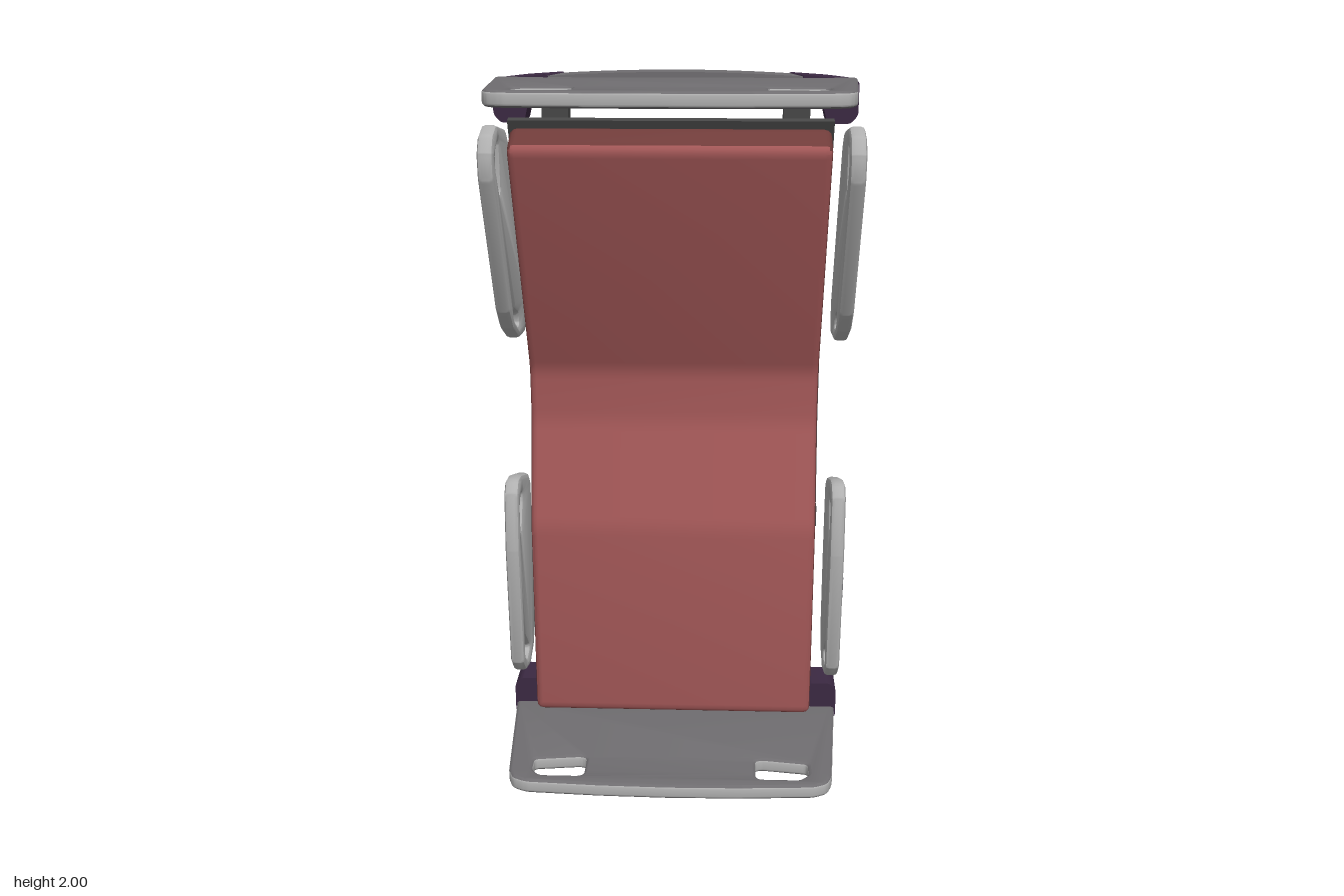
import * as THREE from 'three';
import { toCreasedNormals } from 'three/addons/utils/BufferGeometryUtils.js';

const mat = (name, color) => {
  const m = new THREE.MeshStandardMaterial({ color });
  m.name = name;
  return m;
};

export function createModel() {
  const light = mat('lightGreyPlastic', 0xb0b0b0);
  const panel = mat('greyPanel', 0x6f6d70);
  const frame = mat('darkFrame', 0x474747);
  const purple = mat('purpleBumper', 0x3b2942);
  const red = mat('redUpholstery', 0xa45858);
  const darkRed = mat('darkRedUpholstery', 0x703c3a);
  const blue = mat('blueScreen', 0x2e458c);
  const buttons = mat('buttonGrey', 0x606068);

  const root = new THREE.Group();
  root.name = 'hospitalBed';

  const add = (name, geo, material, parent = root) => {
    const mesh = new THREE.Mesh(geo, material);
    mesh.name = name;
    parent.add(mesh);
    return mesh;
  };
  const group = (name) => {
    const g = new THREE.Group();
    g.name = name;
    root.add(g);
    return g;
  };

  // Box given by its limits on each axis
  const box = (name, [x0, x1], [y0, y1], [z0, z1], material, parent) => {
    const m = add(name, new THREE.BoxGeometry(x1 - x0, y1 - y0, z1 - z0), material, parent);
    m.position.set((x0 + x1) / 2, (y0 + y1) / 2, (z0 + z1) / 2);
    return m;
  };

  // Closed outline with rounded corners
  const outline = (pts, r, target) => {
    const P = pts.map((p) => new THREE.Vector2(p[0], p[1]));
    P.forEach((p, i) => {
      const prev = P[(i + P.length - 1) % P.length], next = P[(i + 1) % P.length];
      const near = (q) => p.clone().lerp(q, Math.min(0.45, r / p.distanceTo(q)));
      const a = near(prev), b = near(next);
      if (i === 0) target.moveTo(a.x, a.y); else target.lineTo(a.x, a.y);
      if (r > 0) target.quadraticCurveTo(p.x, p.y, b.x, b.y);
    });
    target.closePath();
    return target;
  };

  // Outline extruded along an axis from a to b: x uses (z,y), y uses (x,z), z uses (x,y)
  const X = new THREE.Vector3(1, 0, 0), Y = new THREE.Vector3(0, 1, 0), Z = new THREE.Vector3(0, 0, 1);
  const bases = { x: [Z, Y, X.clone().negate()], y: [X, Z, Y.clone().negate()], z: [X, Y, Z] };
  const prism = (axis, pts, a, b, { r = 0, bevel = 0, holes = [], segments = 3 } = {}) => {
    const shape = outline(pts, r, new THREE.Shape());
    holes.forEach((h) => shape.holes.push(outline(h, 0.012, new THREE.Path())));
    const geo = new THREE.ExtrudeGeometry(shape, {
      depth: b - a - 2 * bevel, curveSegments: 4, bevelEnabled: bevel > 0,
      bevelThickness: bevel, bevelSize: bevel, bevelOffset: -bevel, bevelSegments: segments,
    });
    geo.translate(0, 0, bevel);
    geo.applyMatrix4(new THREE.Matrix4().makeBasis(...bases[axis]));
    if (axis === 'z') geo.translate(0, 0, a);
    else if (axis === 'x') geo.translate(b, 0, 0);
    else geo.translate(0, b, 0);
    return toCreasedNormals(geo, 0.6);
  };

  // Material 0 where the face normal passes the test, material 1 elsewhere
  const paintByNormal = (geo, test) => {
    geo.clearGroups();
    const p = geo.attributes.position, tri = new THREE.Triangle(), n = new THREE.Vector3();
    let start = 0, current = -1;
    for (let i = 0; i < p.count; i += 3) {
      tri.setFromAttributeAndIndices(p, i, i + 1, i + 2).getNormal(n);
      const index = test(n) ? 0 : 1;
      if (index !== current) {
        if (i > 0) geo.addGroup(start, i - start, current);
        start = i;
        current = index;
      }
    }
    geo.addGroup(start, p.count - start, current);
    return geo;
  };

  // Mattress with darker sides, and the thin deck behind it
  add('mattress', paintByNormal(prism('x', [
    [0.16, 0.13], [0.16, 0.73], [0.085, 1.03], [0.085, 1.18], [0.378, 1.84],
    [0.285, 1.89], [-0.01, 1.2], [-0.01, 1.02], [0.05, 0.73], [0.05, 0.13],
  ], -0.412, 0.412, { r: 0.03, bevel: 0.02 }), (n) => n.z > 0.6), [red, darkRed]);
  add('mattressDeck', prism('x', [
    [0.053, 0.12], [0.053, 0.73], [-0.008, 1.02], [-0.008, 1.2], [0.292, 1.9],
    [0.268, 1.905], [-0.026, 1.2], [-0.026, 1.02], [0.03, 0.73], [0.03, 0.12],
  ], -0.418, 0.418), frame);
  for (const s of [-1, 1]) {
    box('deckHinge', [s * 0.41 - 0.01, s * 0.41 + 0.01], [0.7, 0.76], [0.01, 0.05], frame);
  }

  // Main frame and central lift housing
  const main = group('mainFrame');
  box('liftHousing', [-0.412, 0.412], [1.01, 1.2], [-0.143, -0.02], frame, main);
  for (const s of [-1, 1]) {
    box('mainRail', [s * 0.338 - 0.037, s * 0.338 + 0.037], [0.06, 1.94], [-0.127, -0.063], frame, main);
  }

  // Base frame, lifting struts and casters
  const base = group('baseFrame');
  for (const s of [-1, 1]) {
    box('baseRail', [s * 0.31 - 0.032, s * 0.31 + 0.032], [0.24, 1.65], [-0.29, -0.226], frame, base);
    for (const [y0, y1] of [[1.12, 1.62], [1.08, 0.27]]) {
      const t = 0.025;
      add('liftStrut', prism('x', [
        [-0.09 - t, y0], [-0.09 + t, y0], [-0.255 + t, y1], [-0.255 - t, y1],
      ], s * 0.142 - 0.022, s * 0.142 + 0.022), frame, base);
    }
  }
  const lathe = (pts) => toCreasedNormals(
    new THREE.LatheGeometry(pts.map((p) => new THREE.Vector2(...p)), 24), 0.6);
  for (const y of [1.628, 0.268]) {
    box('baseCrossbar', [-0.345, 0.345], [y - 0.032, y + 0.032], [-0.29, -0.226], frame, base);
    for (const s of [-1, 1]) {
      const x = s * 0.376;
      add('casterBumper', prism('z', [
        [x - 0.038, y - 0.038], [x + 0.038, y - 0.038], [x + 0.038, y + 0.038], [x - 0.038, y + 0.038],
      ], -0.308, -0.206, { r: 0.008, bevel: 0.006 }), purple, base);
      const stem = add('casterStem', new THREE.CylinderGeometry(0.022, 0.022, 0.07, 12), light, base);
      stem.rotation.x = Math.PI / 2;
      stem.position.set(x, y, -0.335);

      // Wheel: light discs and tread with dark shoulders
      const wheel = new THREE.Group();
      wheel.name = 'casterWheel';
      base.add(wheel);
      add('wheelTread', lathe([[0.06, -0.018], [0.06, 0.018]]), light, wheel);
      for (const e of [-1, 1]) {
        const shoulder = add('wheelShoulder', lathe([[0.06, 0.018], [0.054, 0.034]]), frame, wheel);
        const disc = add('wheelDisc', lathe([[0.054, 0.034], [0, 0.035]]), light, wheel);
        shoulder.rotation.x = disc.rotation.x = e > 0 ? 0 : Math.PI;
      }
      wheel.rotation.z = Math.PI / 2;
      wheel.position.set(x, y + 0.027, -0.388);
    }
  }

  // Head and foot boards, mirrored about y = 1
  const half = [[0.503, -0.06], [0.501, -0.03], [0.468, 0.37], [0.453, 0.41], [0.412, 0.43], [0.2, 0.442]];
  const flip = (pts) => pts.map(([x, z]) => [-x, z]);
  const handle = [[0.4, 0.31], [0.266, 0.292], [0.248, 0.3], [0.248, 0.38],
    [0.26, 0.394], [0.375, 0.394], [0.4, 0.366]];
  for (const top of [true, false]) {
    const g = group(top ? 'headBoard' : 'footBoard');
    const my = (y) => (top ? y : 2 - y);
    const span = (a, b) => (top ? [a, b] : [2 - b, 2 - a]);
    const board = prism('y', [...half, [0, 0.446], ...flip(half).reverse()], ...span(1.943, 1.985),
      { r: 0.015, bevel: 0.01, holes: [handle, flip(handle)] });
    add('boardPanel', paintByNormal(board, (n) => Math.abs(n.y) > 0.6), [panel, light], g);

    // Arched bar along the back of the board
    const arch = [];
    for (let i = -6; i <= 6; i++) arch.push([i * 0.07, my(2 - 0.016 * (i / 6) ** 2)]);
    add('boardBar', prism('z', [[-0.42, my(1.93)], ...arch, [0.42, my(1.93)]], -0.133, -0.031),
      top ? panel : light, g);

    // Corner bumpers with a slanted inner end
    for (const s of [-1, 1]) {
      const pts = [[0.315, 1.925], [0.315, 1.994], [0.42, 1.987], [0.505, 1.977], [0.505, 1.885],
        [0.485, 1.862], [0.42, 1.862], [0.405, 1.925]];
      const geo = prism('z', pts.map(([x, y]) => [s * x, my(y)]), -0.138, -0.028, { r: 0.01 });
      const p = geo.attributes.position;
      for (let i = 0; i < p.count; i++) {
        if (Math.abs(p.getX(i)) < 0.345) p.setX(i, p.getX(i) + s * 0.33 * (p.getZ(i) + 0.138));
      }
      add('cornerBumper', geo, purple, g);
    }
    // Small plate under the foot board
    if (!top) {
      add('footPlate', prism('y', [[-0.08, 0.34], [-0.06, 0.315], [0.06, 0.315], [0.08, 0.34],
        [0.065, 0.375], [-0.065, 0.375]], 0.012, 0.018), light, g);
    }
  }

  // Side rails: outlines as [z, y]
  const rails = [
    {
      name: 'upperSideRail',
      edge: [[0.26, 1.81], [0.228, 1.855], [0.164, 1.876], [0.016, 1.85], [-0.03, 1.807], [-0.256, 1.31],
        [-0.25, 1.235], [-0.23, 1.212], [-0.116, 1.222], [-0.01, 1.275], [0.053, 1.34], [0.254, 1.74]],
      holes: [
        [[0.212, 1.803], [0.156, 1.836], [0.138, 1.824], [0.133, 1.693], [0.157, 1.688], [0.212, 1.768]],
        [[0, 1.327], [-0.02, 1.336], [-0.112, 1.301], [-0.126, 1.266], [-0.098, 1.261], [-0.022, 1.301]],
      ],
      stripe: [[0.055, 1.788], [0.032, 1.798], [-0.177, 1.394], [-0.153, 1.382]],
      screen: [[0.116, 1.606], [0.02, 1.637], [-0.063, 1.458], [0.026, 1.426]],
      pad: [[0.108, 1.58], [0.085, 1.59], [0.035, 1.485], [0.058, 1.475]],
    },
    {
      name: 'lowerSideRail',
      edge: [[0.035, 0.78], [0, 0.814], [-0.06, 0.809], [-0.2, 0.765], [-0.23, 0.728], [-0.236, 0.5],
        [-0.225, 0.23], [-0.18, 0.175], [-0.1, 0.148], [-0.02, 0.17], [0.028, 0.22], [0.05, 0.6]],
      holes: [
        [[0.007, 0.73], [-0.021, 0.763], [-0.064, 0.75], [-0.064, 0.724], [-0.023, 0.643], [0.007, 0.643]],
        [[0.004, 0.303], [-0.028, 0.288], [-0.102, 0.218], [-0.102, 0.204], [-0.05, 0.193], [0, 0.234]],
      ],
      stripe: [[-0.184, 0.67], [-0.21, 0.67], [-0.208, 0.325], [-0.18, 0.332]],
      screen: [[-0.004, 0.555], [-0.022, 0.555], [-0.022, 0.525], [-0.004, 0.525]],
      pad: [[-0.006, 0.51], [-0.032, 0.505], [-0.034, 0.436], [-0.012, 0.44]],
    },
  ];
  for (const d of rails) {
    for (const s of [-1, 1]) {
      const g = group(d.name);
      const span = (a, b) => (s > 0 ? [a, b] : [-b, -a]);
      add('railPanel', prism('x', d.edge, ...span(0.464, 0.508),
        { r: 0.01, bevel: 0.013, holes: d.holes, segments: 2 }), light, g);
      add('railStripe', prism('x', d.stripe, ...span(0.505, 0.511)), purple, g);
      add('controlScreen', prism('x', d.screen, ...span(0.505, 0.511), { r: 0.006 }), blue, g);
      add('controlButtons', prism('x', d.pad, ...span(0.505, 0.5125), { r: 0.006 }), buttons, g);
    }
  }
  return root;
}
